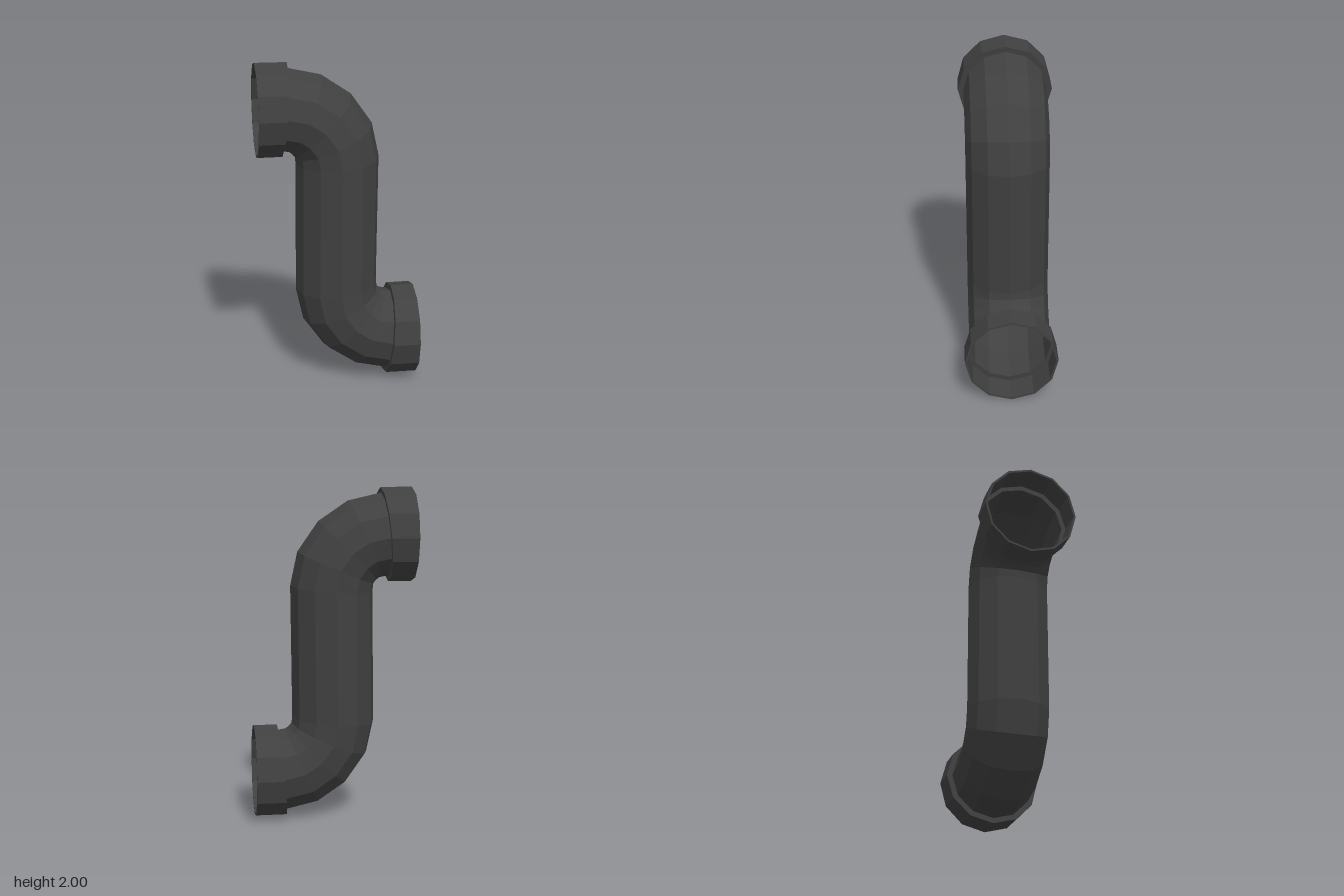
import * as THREE from 'three';

const SIDES = 12;
const PIPE_R = 0.25, COLLAR_R = 0.283, SOCKET_R = 0.27;
const MID_Y = 1; // the pipe repeats itself turned half a circle about this height

const material = new THREE.MeshStandardMaterial({
  color: 0x404040, flatShading: true, side: THREE.DoubleSide,
});

// Skin through rings [x, y, tilt in degrees, radius], each tilted about z
function loft(name, rings) {
  const positions = [], index = [];
  rings.forEach(([x, y, tilt, r], i) => {
    const t = THREE.MathUtils.degToRad(tilt);
    for (let j = 0; j < SIDES; j++) {
      const a = (j / SIDES) * Math.PI * 2;
      const up = r * Math.cos(a);
      positions.push(x + up * Math.sin(t), y + up * Math.cos(t), r * Math.sin(a));
      if (i === rings.length - 1) continue;
      const k = (j + 1) % SIDES;
      const p = i * SIDES + j, q = i * SIDES + k;
      index.push(p, q, p + SIDES, q, q + SIDES, p + SIDES);
    }
  });
  const geometry = new THREE.BufferGeometry();
  geometry.setAttribute('position', new THREE.Float32BufferAttribute(positions, 3));
  geometry.setIndex(index);
  geometry.computeVertexNormals();
  const mesh = new THREE.Mesh(geometry, material);
  mesh.name = name;
  return mesh;
}

export function createModel() {
  const model = new THREE.Group();
  model.name = 'bentPipe';

  // Upper elbow, then the same elbow turned round for the lower end
  const upperBend = [
    [-0.315, 1.717, 5, PIPE_R],
    [-0.19, 1.69, 23, PIPE_R],
    [-0.092, 1.623, 45, PIPE_R],
    [-0.02, 1.522, 67, PIPE_R],
    [0.004, 1.4, 86, PIPE_R],
  ];
  const lowerBend = upperBend
    .map(([x, y, tilt, r]) => [-x, 2 * MID_Y - y, tilt, r])
    .reverse();
  model.add(loft('pipe', [...upperBend, ...lowerBend]));

  // Open socket collars: inner ledge, socket wall, rim, outer wall, back ledge
  for (const [name, turn] of [['upperCollar', 0], ['lowerCollar', Math.PI]]) {
    const collar = loft(name, [
      [-0.33, 0.717, 5, PIPE_R],
      [-0.33, 0.717, 5, SOCKET_R],
      [-0.48, 0.717, 0, SOCKET_R],
      [-0.48, 0.717, 0, COLLAR_R],
      [-0.315, 0.717, 5, COLLAR_R],
      [-0.315, 0.717, 5, PIPE_R],
    ]);
    collar.position.y = MID_Y;
    collar.rotation.z = turn;
    model.add(collar);
  }
  return model;
}
